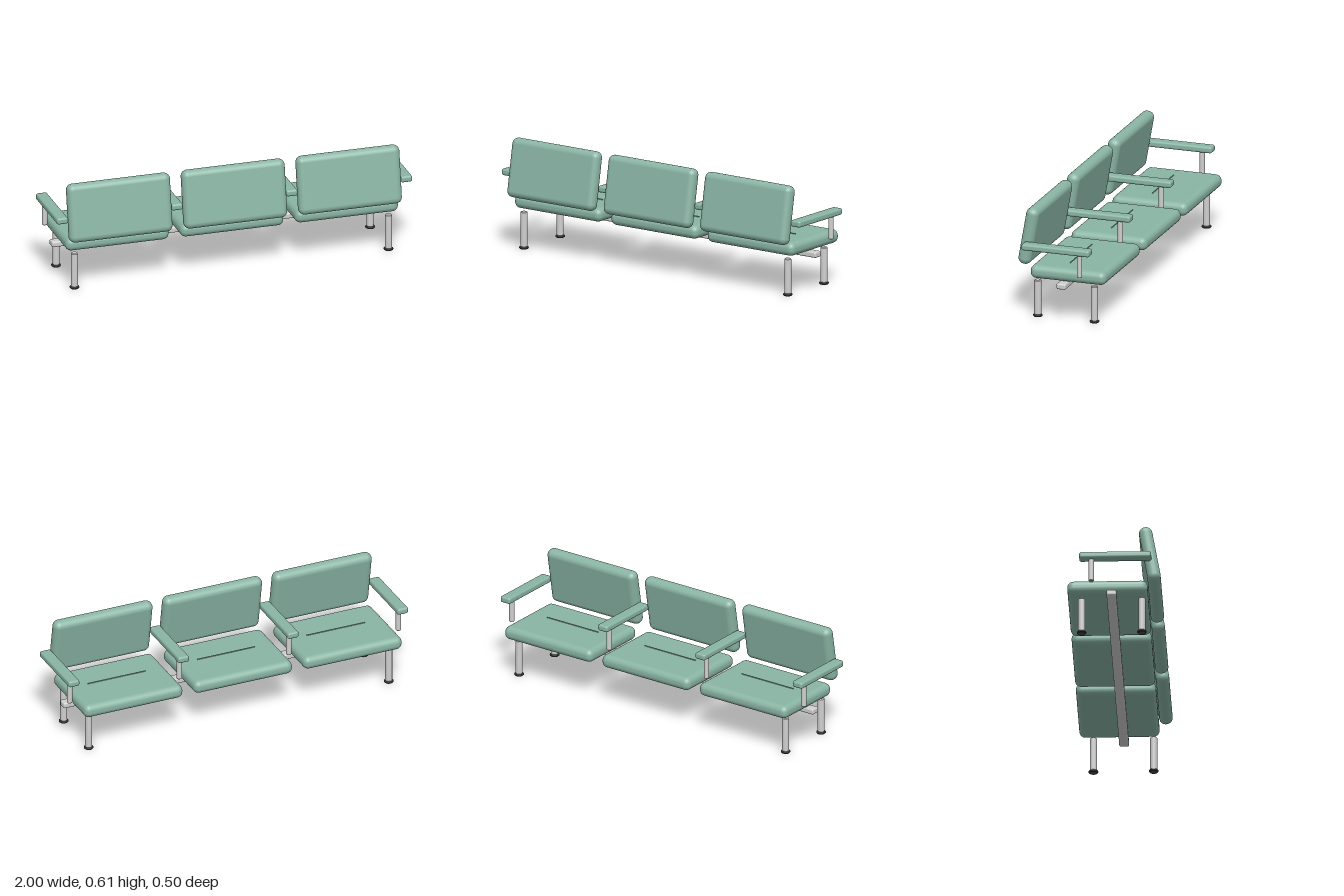
import * as THREE from 'three';
import { RoundedBoxGeometry } from 'three/addons/geometries/RoundedBoxGeometry.js';

const material = (name, color) => {
  const m = new THREE.MeshStandardMaterial({ color });
  m.name = name;
  return m;
};

export function createModel() {
  const upholstery = material('green upholstery', 0x8ab5a5);
  const metal = material('light metal', 0xd0d0d0);
  const rubber = material('dark rubber', 0x454545);
  const model = new THREE.Group();
  model.name = 'bench';

  const add = (name, geometry, mat, x, y, z) => {
    const mesh = new THREE.Mesh(geometry, mat);
    mesh.name = name;
    mesh.position.set(x, y, z);
    model.add(mesh);
    return mesh;
  };
  const pad = (w, h, d, r) => new RoundedBoxGeometry(w, h, d, 4, r);

  // Upright round post with bevelled rims, standing on y = 0
  const post = (r, h, b) => new THREE.LatheGeometry([
    [0, 0], [r - b, 0], [r - b, 0], [r, b], [r, b],
    [r, h - b], [r, h - b], [r - b, h], [r - b, h], [0, h],
  ].map(([x, y]) => new THREE.Vector2(x, y)), 16);

  // Three seats with leaning backrests and a raised seam
  const spacing = 0.645, shift = -0.003;
  const seat = pad(0.58, 0.074, 0.43, 0.033);
  const back = pad(0.58, 0.322, 0.072, 0.034);
  const seam = new THREE.BoxGeometry(0.34, 0.008, 0.004);
  for (let i = -1; i <= 1; i++) {
    const x = i * spacing + shift;
    add('seat', seat, upholstery, x, 0.259, -0.035);
    add('seatSeam', seam, upholstery, x, 0.296, -0.012);
    add('backrest', back, upholstery, x, 0.453, 0.192).rotation.x = -THREE.MathUtils.degToRad(10);
  }

  // Armrests on posts, at both ends and between the seats
  const arm = pad(0.064, 0.036, 0.386, 0.012);
  const armPost = post(0.0145, 0.132, 0.003);
  for (let i = 0; i < 4; i++) {
    const x = (i - 1.5) * spacing;
    add('armrest', arm, upholstery, x, 0.416, 0.009);
    add('armrestPost', armPost, metal, x, 0.272, -0.12);
  }

  // Beam under the seats
  add('beam', pad(1.932, 0.032, 0.053, 0.009), metal, -0.002, 0.206, -0.012);

  // Legs with rubber feet
  const leg = post(0.019, 0.195, 0.004);
  const foot = post(0.026, 0.013, 0.004);
  for (const x of [-0.886, 0.88]) {
    for (const z of [-0.174, 0.149]) {
      add('leg', leg, metal, x, 0.01, z);
      add('foot', foot, rubber, x, 0, z);
    }
  }
  return model;
}
